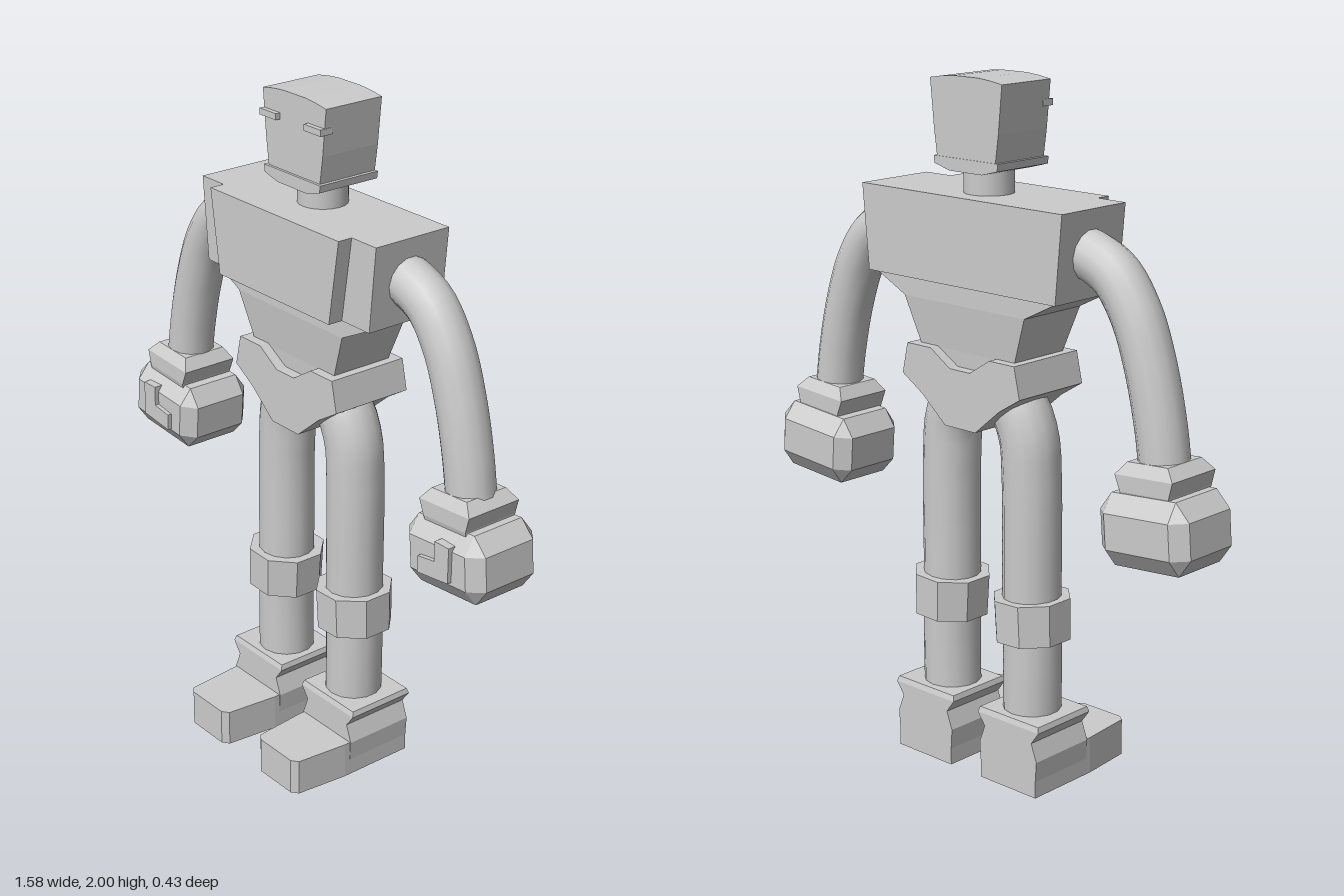
import * as THREE from 'three';
import { ConvexGeometry } from 'three/addons/geometries/ConvexGeometry.js';

const CX = 0.004; // centre line of the body
const MID = -0.085; // depth of the limbs

const flat = new THREE.MeshStandardMaterial({ color: 0xcccccc, flatShading: true });
const smooth = new THREE.MeshStandardMaterial({ color: 0xcccccc });

// Stack of rectangular sections [y, halfWidth, zBack, zFront], bottom to top
function loft(sections, cx) {
  const pos = [], index = [];
  for (const [y, h, back, front] of sections) {
    pos.push(cx - h, y, front, cx + h, y, front, cx + h, y, back, cx - h, y, back);
  }
  for (let i = 0; i < sections.length - 1; i++) {
    for (let j = 0; j < 4; j++) {
      const a = i * 4 + j, b = i * 4 + (j + 1) % 4;
      index.push(a, b, b + 4, a, b + 4, a + 4);
    }
  }
  const t = (sections.length - 1) * 4;
  index.push(0, 2, 1, 0, 3, 2, t, t + 1, t + 2, t, t + 2, t + 3);
  const g = new THREE.BufferGeometry();
  g.setAttribute('position', new THREE.Float32BufferAttribute(pos, 3));
  g.setIndex(index);
  const out = g.toNonIndexed();
  out.computeVertexNormals();
  return out;
}

// Front outline extruded between two depths
function slab(points, back, front) {
  const shape = new THREE.Shape(points.map(([x, y]) => new THREE.Vector2(x, y)));
  return new THREE.ExtrudeGeometry(shape, { depth: front - back, bevelEnabled: false }).translate(0, 0, back);
}

// Half outline completed by mirroring across x = cx
function symmetric(half, cx) {
  const right = half.map(([x, y]) => [cx + x, y]);
  const left = half.map(([x, y]) => [cx - x, y]).reverse();
  return right.concat(left);
}

// Round limb along points in the front plane
function limb(points, s, radius) {
  const path = new THREE.CatmullRomCurve3(points.map(([x, y]) => new THREE.Vector3(CX + s * x, y, MID)));
  return new THREE.TubeGeometry(path, 28, radius, 14, false);
}

// Box with all edges cut off
function chamferedBox(hx, hy, hz) {
  const pts = [];
  for (const x of [-hx, hx]) for (const y of [-hy, hy]) for (const z of [-hz, hz]) {
    pts.push(new THREE.Vector3(x, y * 0.5, z * 0.7));
    pts.push(new THREE.Vector3(x * 0.72, y, z * 0.7));
    pts.push(new THREE.Vector3(x * 0.72, y * 0.5, z));
  }
  return new ConvexGeometry(pts);
}

export function createModel() {
  const model = new THREE.Group();
  model.name = 'robot';
  const add = (parent, name, geometry, material = flat) => {
    const mesh = new THREE.Mesh(geometry, material);
    mesh.name = name;
    parent.add(mesh);
    return mesh;
  };

  // Head with a gently crowned top, eyes, jaw and neck
  const head = new THREE.Group();
  head.name = 'head';
  model.add(head);
  const hx = 0.011;
  add(head, 'skull', slab(symmetric([
    [0.108, 1.77], [0.12, 1.855], [0.133, 1.988], [0.09, 1.995], [0.045, 1.999],
  ], hx), -0.173, 0.018));
  add(head, 'jaw', slab(symmetric([[0.06, 1.742], [0.117, 1.757], [0.12, 1.778]], hx), -0.175, 0.026));
  for (const s of [1, -1]) {
    add(head, s > 0 ? 'leftEye' : 'rightEye',
      new THREE.BoxGeometry(0.07, 0.018, 0.04).translate(hx + s * 0.094, 1.925, 0.013));
  }
  add(head, 'neck', new THREE.CylinderGeometry(0.071, 0.071, 0.12, 20).translate(0.008, 1.71, MID), smooth);

  // Torso
  const torso = new THREE.Group();
  torso.name = 'torso';
  model.add(torso);
  add(torso, 'chest', loft([[1.435, 0.352, -0.212, 0.042], [1.68, 0.374, -0.212, 0.042]], CX));
  add(torso, 'chestPlate', slab(symmetric([[0.24, 1.435], [0.277, 1.68]], CX), 0.03, 0.087));
  add(torso, 'abdomen', loft([
    [1.15, 0.16, -0.175, 0.01], [1.245, 0.178, -0.18, 0.015],
    [1.378, 0.227, -0.195, 0.03], [1.436, 0.342, -0.195, 0.03],
  ], CX));
  add(torso, 'pelvis', slab(symmetric([
    [0.058, 1.034], [0.148, 1.11], [0.224, 1.157], [0.204, 1.247], [0.112, 1.247], [0.038, 1.2],
  ], CX), -0.21, 0.045));

  for (const s of [1, -1]) {
    const side = s > 0 ? 'left' : 'right';

    // Arm with wrist cuff, fist and thumb
    const arm = new THREE.Group();
    arm.name = side + 'Arm';
    model.add(arm);
    add(arm, 'armTube', limb([
      [0.32, 1.562], [0.365, 1.555], [0.45, 1.515], [0.522, 1.42], [0.573, 1.29], [0.61, 1.14], [0.632, 1.0],
    ], s, 0.07), smooth);
    const cuff = add(arm, 'wristCuff', loft([
      [-0.07, 0.078, -0.08, 0.08], [-0.03, 0.082, -0.09, 0.09],
      [0.015, 0.097, -0.09, 0.09], [0.048, 0.068, -0.07, 0.07],
    ], 0));
    cuff.position.set(s * 0.625, 1.0, MID);
    cuff.rotation.z = s * 0.07;
    const fist = add(arm, 'fist', chamferedBox(0.15, 0.1, 0.122));
    fist.position.set(s * 0.634, 0.866, -0.09);
    fist.rotation.z = s * 0.08;
    add(arm, 'thumb', slab([
      [0.635, 0.935], [0.69, 0.935], [0.69, 0.83], [0.57, 0.815], [0.57, 0.865], [0.635, 0.875],
    ].map(([x, y]) => [s * x, y]), -0.02, 0.045));

    // Leg with knee band
    const leg = new THREE.Group();
    leg.name = side + 'Leg';
    model.add(leg);
    add(leg, 'legTube', limb([
      [0.04, 1.125], [0.1, 1.1], [0.143, 1.02], [0.155, 0.9], [0.157, 0.55], [0.16, 0.35], [0.158, 0.17],
    ], s, 0.084), smooth);
    const band = add(leg, 'kneeBand', new THREE.CylinderGeometry(0.115, 0.112, 0.122, 8).rotateY(Math.PI / 8));
    band.position.set(CX + s * 0.159, 0.491, MID);
    band.rotation.z = s * 0.04;

    // Boot: tapered sole block and flared ankle
    const fx = CX + s * 0.166;
    const boot = new THREE.Group();
    boot.name = side + 'Boot';
    model.add(boot);
    add(boot, 'sole', slab(symmetric([
      [0.106, -0.195], [0.106, 0.04], [0.09, 0.2], [0.07, 0.215],
    ], fx), 0, 0.11).rotateX(Math.PI / 2).translate(0, 0.11, 0));
    add(boot, 'ankle', loft([
      [0.05, 0.106, -0.195, 0.022], [0.11, 0.11, -0.195, 0.022], [0.163, 0.09, -0.195, 0.022],
      [0.2, 0.117, -0.195, 0.022], [0.216, 0.112, -0.19, 0.017],
    ], fx));
  }
  return model;
}
